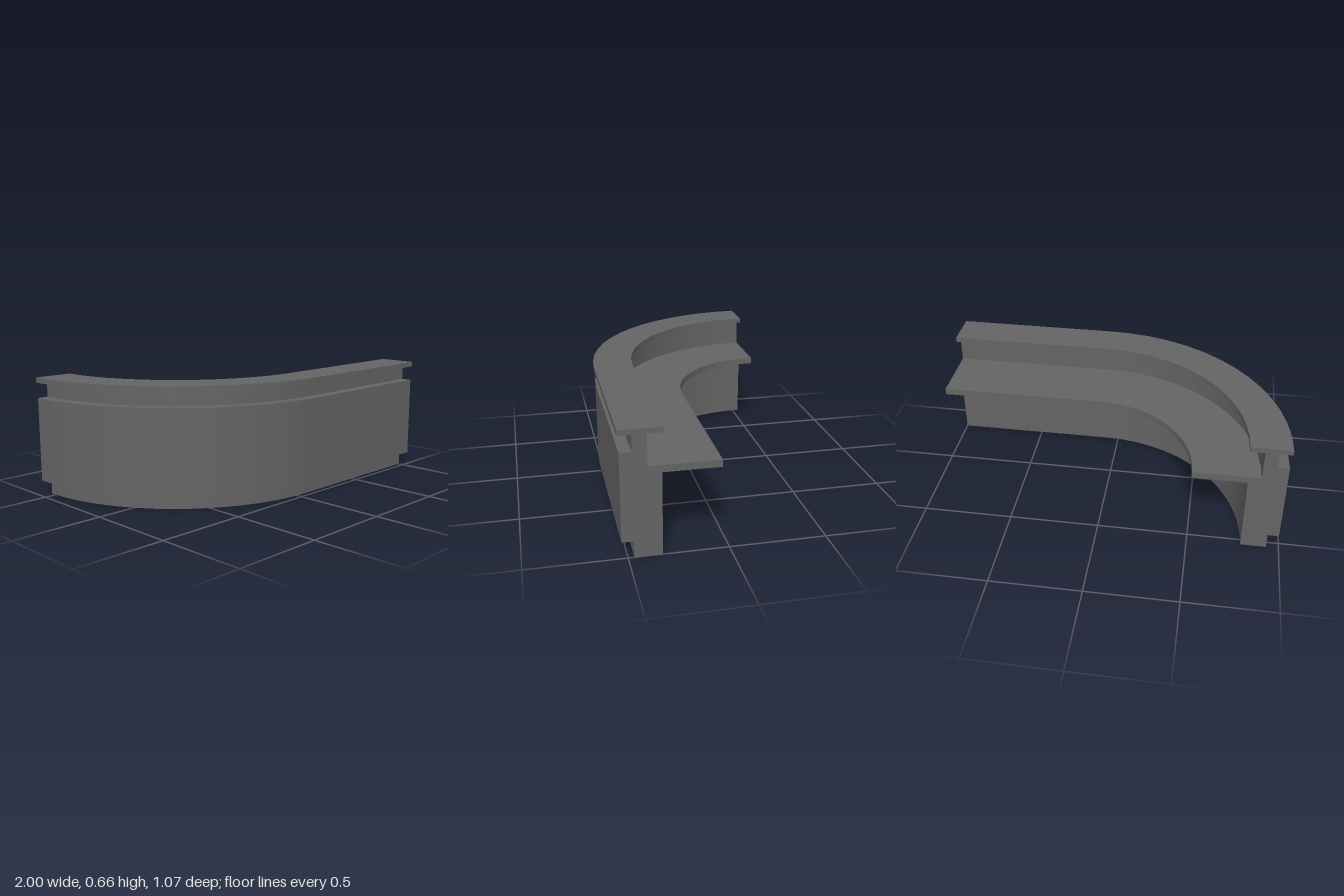
import * as THREE from 'three';

// Moulding cross-section, counter-clockwise: [distance from the bend centre, height]
const PROFILE = [
  [0.867, 0], [1.007, 0], [1.007, 0.087], [1.067, 0.087], [1.067, 0.55], [1.007, 0.55],
  [1.007, 0.635], [1.074, 0.635], [1.074, 0.663], [0.859, 0.663], [0.859, 0.635],
  [0.935, 0.635], [0.935, 0.472], [0.577, 0.472], [0.577, 0.435], [0.867, 0.435],
];
const BEND_X = 0.074, BEND_Z = -0.537, BEND_STEPS = 14;

// Stations along the path: the straight run, then a quarter bend
function makeStations() {
  const stations = [{ x: 1, dx: 0, dz: 1 }];
  for (let i = 0; i <= BEND_STEPS; i++) {
    const a = (i / BEND_STEPS) * Math.PI / 2;
    stations.push({ x: BEND_X, dx: -Math.sin(a), dz: Math.cos(a) });
  }
  return stations;
}

const place = (s, [r, y]) => [s.x + r * s.dx, y, BEND_Z + r * s.dz];

function toGeometry(pos, nor, idx) {
  const g = new THREE.BufferGeometry();
  g.setAttribute('position', new THREE.Float32BufferAttribute(pos, 3));
  g.setAttribute('normal', new THREE.Float32BufferAttribute(nor, 3));
  g.setIndex(idx);
  return g;
}

// One strip per profile edge: smooth along the bend, sharp across the profile
function sweptSides(stations) {
  const pos = [], nor = [], idx = [];
  PROFILE.forEach((p, i) => {
    const q = PROFILE[(i + 1) % PROFILE.length];
    const er = Math.sign(q[0] - p[0]), ey = Math.sign(q[1] - p[1]);
    stations.forEach((s, k) => {
      const n = pos.length / 3;
      pos.push(...place(s, p), ...place(s, q));
      for (let j = 0; j < 2; j++) nor.push(ey * s.dx, -er, ey * s.dz);
      if (k < stations.length - 1) idx.push(n, n + 1, n + 3, n, n + 3, n + 2);
    });
  });
  return toGeometry(pos, nor, idx);
}

// Flat end face; sign -1 for the start of the path, +1 for its end
function endCap(s, sign) {
  const outline = PROFILE.map(([r, y]) => new THREE.Vector2(r, y));
  const pos = PROFILE.flatMap((p) => place(s, p));
  const nor = PROFILE.flatMap(() => [-s.dz * sign, 0, s.dx * sign]);
  const idx = THREE.ShapeUtils.triangulateShape(outline, [])
    .flatMap(([a, b, c]) => (sign > 0 ? [a, b, c] : [a, c, b]));
  return toGeometry(pos, nor, idx);
}

export function createModel() {
  const group = new THREE.Group();
  group.name = 'curvedMoulding';
  const grey = new THREE.MeshStandardMaterial({ color: 0x646464 });
  grey.name = 'dark grey';

  const stations = makeStations();
  const add = (name, geometry) => {
    const mesh = new THREE.Mesh(geometry, grey);
    mesh.name = name;
    group.add(mesh);
  };
  add('sweptBody', sweptSides(stations));
  add('straightEnd', endCap(stations[0], -1));
  add('bendEnd', endCap(stations[stations.length - 1], 1));
  return group;
}
